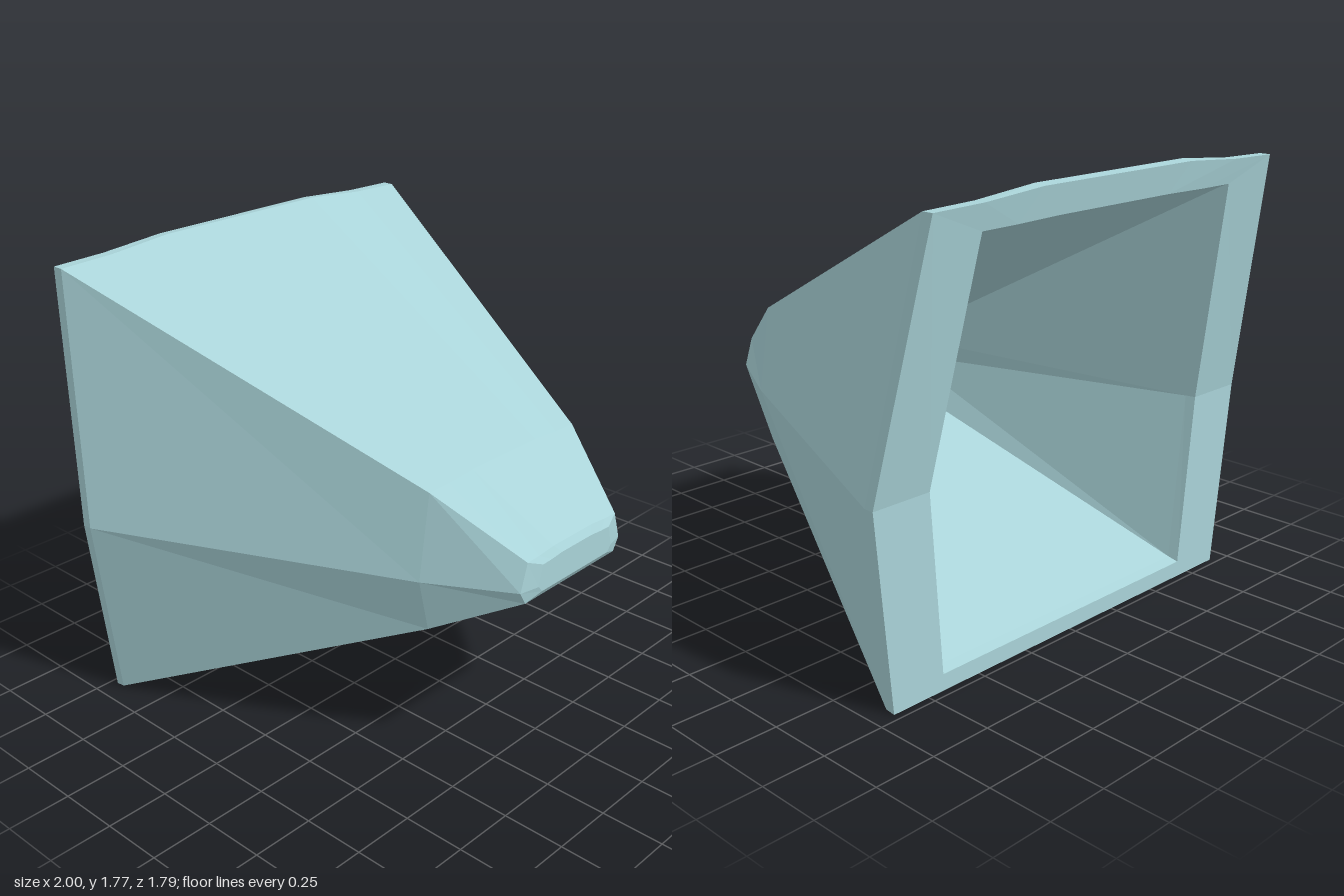
import * as THREE from 'three';

// Ten-point cross-section, mirrored about x = 0, counter-clockwise seen from +z.
// Each level is [half width, y, z]; crown is the height of the raised middle of the top edge.
function section(bottom, middle, top, crown) {
  const rise = crown - top[1];
  const half = [
    bottom,
    middle,
    top,
    [top[0] * 0.75, top[1] + rise * 0.2, top[2]],
    [top[0] * 0.44, crown, top[2]],
  ];
  const mirrored = half.map(([x, y, z]) => [-x, y, z]).reverse();
  return [...half, ...mirrored];
}

// Faceted skin through a chain of sections, closed by a cap at both ends.
function loft(rings) {
  const pos = [];
  const tri = (a, b, c) => pos.push(...a, ...b, ...c);
  const n = rings[0].length;
  for (let r = 0; r < rings.length - 1; r++) {
    const a = rings[r], b = rings[r + 1];
    for (let i = 0; i < n; i++) {
      const j = (i + 1) % n;
      tri(a[i], a[j], b[j]);
      tri(a[i], b[j], b[i]);
    }
  }
  const first = rings[0], last = rings[rings.length - 1];
  for (let i = 1; i < n - 1; i++) {
    tri(first[0], first[i + 1], first[i]);
    tri(last[0], last[i], last[i + 1]);
  }
  const geometry = new THREE.BufferGeometry();
  geometry.setAttribute('position', new THREE.Float32BufferAttribute(pos, 3));
  geometry.computeVertexNormals();
  return geometry;
}

export function createModel() {
  const group = new THREE.Group();
  group.name = 'taperedHood';

  const rings = [
    // hollow inside, from its narrow end back to the opening
    section([0.3, 0.65, 0.55], [0.33, 0.77, 0.55], [0.3, 0.86, 0.55], 0.865),
    section([0.67, 0.08, -0.68], [0.735, 0.765, -0.68], [0.655, 1.64, -0.84], 1.645),
    section([0.68, 0.065, -0.72], [0.745, 0.765, -0.72], [0.665, 1.655, -0.875], 1.66),
    // slanted back rim
    section([0.915, 0, -0.72], [1, 0.765, -0.72], [0.9, 1.745, -0.895], 1.77),
    section([0.915, 0.005, -0.68], [1, 0.765, -0.68], [0.9, 1.745, -0.85], 1.775),
    // outer shell narrowing to the blunt nose
    section([0.42, 0.56, 0.55], [0.47, 0.775, 0.55], [0.42, 1.113, 0.55], 1.125),
    section([0.27, 0.73, 0.875], [0.3, 0.782, 0.875], [0.265, 0.893, 0.875], 0.903),
    section([0.2, 0.76, 0.895], [0.22, 0.785, 0.895], [0.2, 0.868, 0.895], 0.875),
  ];

  const material = new THREE.MeshStandardMaterial({ color: 0xa9d3d8, flatShading: true });
  const shell = new THREE.Mesh(loft(rings), material);
  shell.name = 'hollowShell';
  group.add(shell);
  return group;
}
